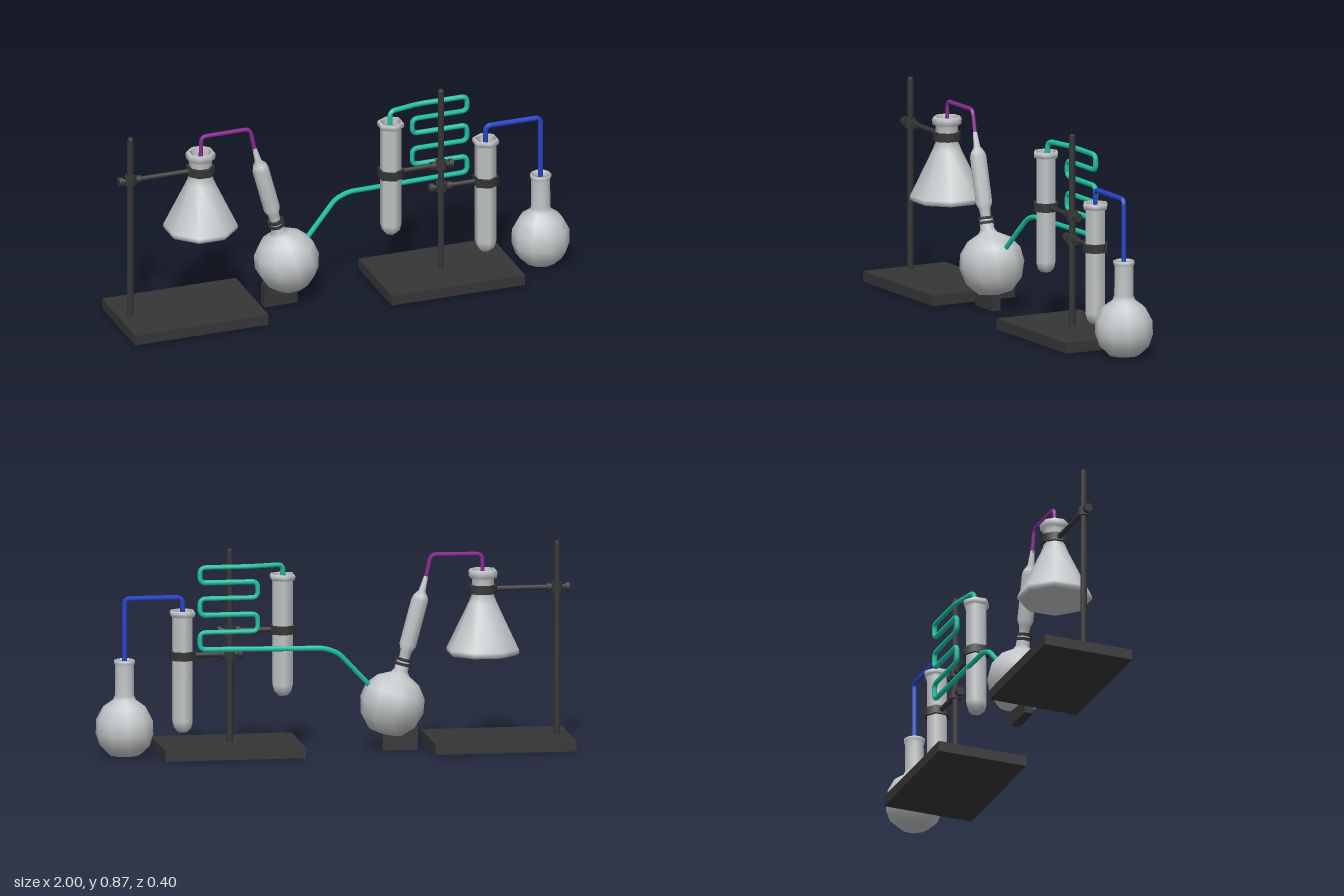
import * as THREE from 'three';

const mat = (name, color, side = THREE.FrontSide) => {
  const m = new THREE.MeshStandardMaterial({ color, side });
  m.name = name;
  return m;
};

export function createModel() {
  const root = new THREE.Group();
  root.name = 'distillationApparatus';
  const glass = mat('glass grey', 0xc3c6c8, THREE.DoubleSide);
  const iron = mat('dark iron', 0x363636);
  const teal = mat('teal', 0x1cc4a4);
  const purple = mat('purple', 0x8c2a94);
  const blue = mat('blue', 0x2844cc);

  const add = (name, geo, material, x = 0, y = 0, z = 0, parent = root) => {
    const mesh = new THREE.Mesh(geo, material);
    mesh.name = name;
    mesh.position.set(x, y, z);
    parent.add(mesh);
    return mesh;
  };
  const lathe = (pts, sides, phase = 0) =>
    new THREE.LatheGeometry(pts.map(p => new THREE.Vector2(...p)), sides, phase);

  // Rod along x between two positions
  const bar = (name, x0, x1, y, r, z = 0) => {
    const g = new THREE.CylinderGeometry(r, r, Math.abs(x1 - x0), 8);
    g.rotateZ(Math.PI / 2);
    return add(name, g, iron, (x0 + x1) / 2, y, z);
  };

  // Tubing along straight runs with rounded corners
  const hose = (name, pts, r, material, bend = 0.025) => {
    const v = pts.map(p => new THREE.Vector3(...p));
    const path = new THREE.CurvePath();
    let from = v[0];
    for (let i = 1; i < v.length - 1; i++) {
      const toward = (q) => {
        const d = q.clone().sub(v[i]);
        return v[i].clone().add(d.setLength(Math.min(bend, d.length() * 0.48)));
      };
      const a = toward(v[i - 1]), b = toward(v[i + 1]);
      path.add(new THREE.LineCurve3(from, a));
      path.add(new THREE.QuadraticBezierCurve3(a, v[i], b));
      from = b;
    }
    path.add(new THREE.LineCurve3(from, v[v.length - 1]));
    const steps = Math.ceil(path.getLength() / 0.008);
    return add(name, new THREE.TubeGeometry(path, steps, r, 6), material);
  };

  // Stands: base plate and upright rod with a rounded tip
  for (const [baseX, rodX] of [[-0.702, -0.948], [0.44, 0.436]]) {
    add('standBase', new THREE.BoxGeometry(0.595, 0.045, 0.395), iron, baseX, 0.0275, 0);
    add('standRod', lathe([[0.014, 0.04], [0.014, 0.855], [0.009, 0.867], [0, 0.867]], 8), iron, rodX);
  }

  // Clamps: boss on the rod, bar with end knob, collar round the glass
  const clamp = (rodX, glassX, y, r, sides, phase = 0) => {
    const dir = Math.sign(glassX - rodX);
    add('clampBoss', new THREE.CylinderGeometry(0.025, 0.025, 0.04, 8), iron, rodX, y);
    bar('clampBar', rodX - dir * 0.045, glassX - dir * r * 0.85, y, 0.011);
    bar('clampKnob', rodX - dir * 0.035, rodX - dir * 0.052, y, 0.02);
    bar('clampNut', rodX + dir * 0.025, rodX + dir * 0.045, y, 0.018);
    add('clampCollar', new THREE.CylinderGeometry(r, r, 0.036, sides, 1, false, phase), iron, glassX, y);
  };
  clamp(-0.948, -0.635, 0.671, 0.06, 8, Math.PI / 8);
  clamp(0.436, 0.212, 0.521, 0.058, 6);
  clamp(0.436, 0.635, 0.421, 0.058, 6);

  // Conical flask
  add('conicalFlask', lathe([
    [0, 0.395], [0.145, 0.395], [0.157, 0.405], [0.155, 0.42], [0.06, 0.615], [0.048, 0.645],
    [0.047, 0.715], [0.061, 0.722], [0.063, 0.745], [0.055, 0.755], [0.042, 0.75], [0.04, 0.66],
  ], 8, Math.PI / 8), glass, -0.635);
  const disc = (name, r, sides, material, x, y) =>
    add(name, new THREE.CylinderGeometry(r, r, 0.008, sides), material, x, y);
  disc('flaskContents', 0.04, 8, purple, -0.635, 0.68);

  // Test tubes with flared rims
  for (const [x, y] of [[0.212, 0.238], [0.635, 0.093]]) {
    add('testTube', lathe([
      [0, 0], [0.022, 0.005], [0.039, 0.022], [0.046, 0.05], [0.046, 0.49], [0.056, 0.495],
      [0.058, 0.51], [0.052, 0.519], [0.04, 0.515], [0.039, 0.4],
    ], 6), glass, x, y);
  }
  disc('tubeContents', 0.039, 6, teal, 0.212, 0.66);

  // Receiving flask
  add('receivingFlask', lathe([
    [0, 0.005], [0.065, 0.007], [0.105, 0.045], [0.122, 0.095], [0.12, 0.155], [0.09, 0.21],
    [0.048, 0.24], [0.041, 0.26], [0.04, 0.385], [0.045, 0.395], [0.045, 0.407], [0.037, 0.41],
    [0.033, 0.39], [0.033, 0.26],
  ], 10), glass, 0.88);

  // Tilted boiling flask and its column
  const still = new THREE.Group();
  still.name = 'boilingFlaskAssembly';
  still.position.set(-0.25, 0.19, 0);
  still.rotation.z = 0.262;
  root.add(still);
  add('boilingFlask', lathe([
    [0, -0.13], [0.07, -0.118], [0.118, -0.068], [0.138, 0], [0.128, 0.06], [0.09, 0.108],
    [0.04, 0.134], [0.03, 0.15], [0.028, 0.2],
  ], 10), glass, 0, 0, 0, still);
  for (const y of [0.178, 0.197]) {
    add('columnJoint', new THREE.CylinderGeometry(0.036, 0.036, 0.012, 8), iron, 0, y, 0, still);
  }
  add('column', lathe([
    [0.022, 0.2], [0.025, 0.235], [0.036, 0.26], [0.036, 0.455], [0.03, 0.475], [0.015, 0.495],
    [0.009, 0.56], [0, 0.56],
  ], 8), glass, 0, 0, 0, still);

  // Block supporting the boiling flask
  add('flaskBlock', new THREE.BoxGeometry(0.147, 0.1, 0.04), iron, -0.284, 0.05, 0);

  // Purple link from conical flask to column
  hose('purpleTubing', [[-0.635, 0.66, 0], [-0.632, 0.82, 0], [-0.415, 0.822, 0], [-0.393, 0.72, 0]], 0.009, purple);

  // Blue link from second test tube to receiving flask
  hose('blueTubing', [[0.635, 0.5, 0], [0.635, 0.667, 0], [0.88, 0.667, 0], [0.88, 0.32, 0]], 0.011, blue);

  // Teal coil from first test tube, zigzagging down to the boiling flask
  const coil = [[0.212, 0.66, 0], [0.212, 0.797, -0.01], [0.35, 0.797, -0.04]];
  const levels = [0.797, 0.732, 0.665, 0.595, 0.522, 0.45];
  for (let i = 0; i < 5; i++) {
    const x = i % 2 ? 0.323 : 0.567;
    coil.push([x, levels[i], -0.04], [x, levels[i + 1], -0.04]);
  }
  coil.push([0.04, 0.443, -0.04], [-0.02, 0.42, -0.038], [-0.17, 0.26, -0.01]);
  hose('tealCoil', coil, 0.011, teal);

  return root;
}
